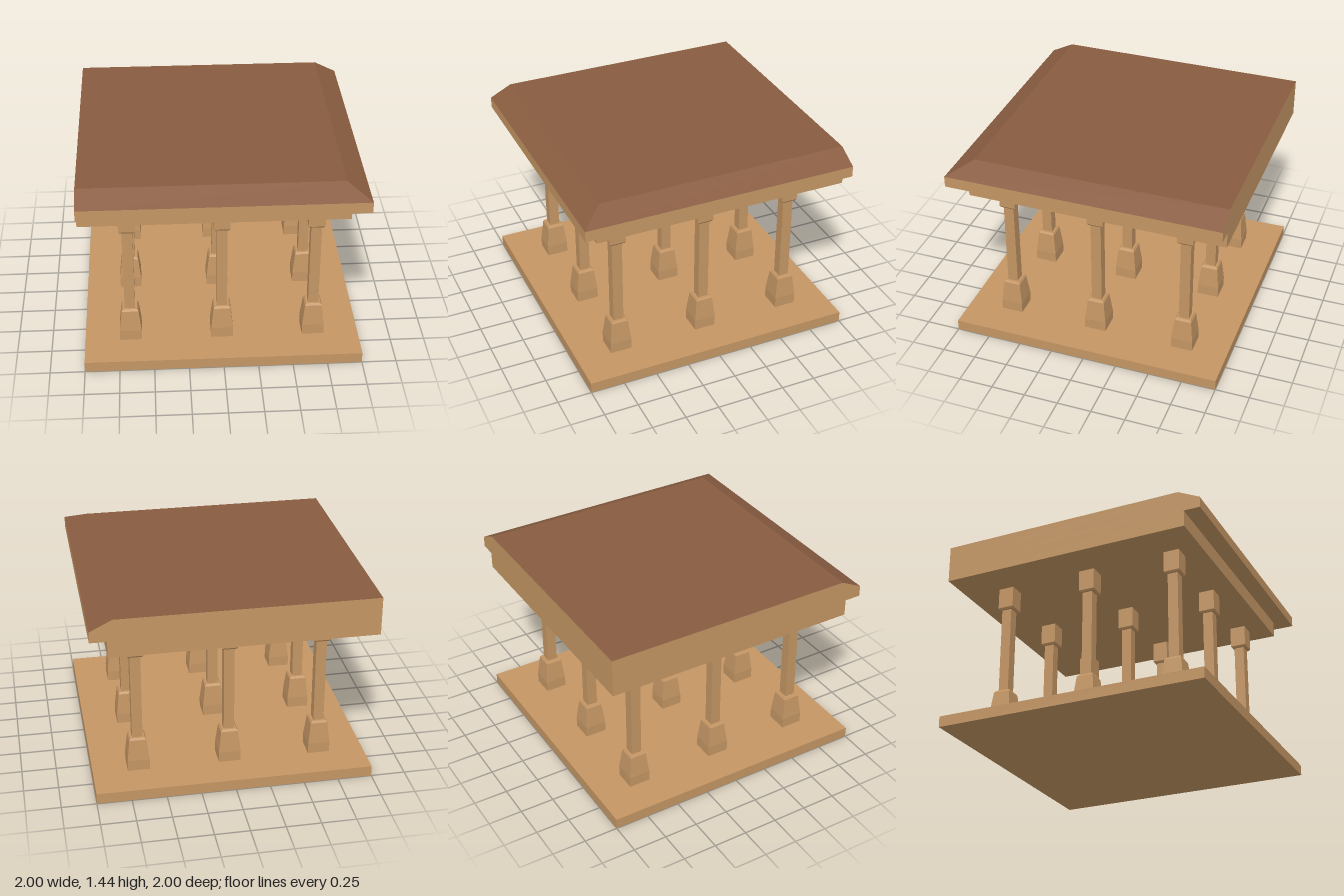
import * as THREE from 'three';

const wood = new THREE.MeshStandardMaterial({ color: 0xc49664 });
wood.name = 'wood';
const roofBrown = new THREE.MeshStandardMaterial({ color: 0x885c40 });
roofBrown.name = 'roofBrown';

// Square slab whose back left corner sits at (-1, -1) and reaches max in x and z
function slab(name, max, y0, y1, material) {
  const size = max + 1;
  const geometry = new THREE.BoxGeometry(size, y1 - y0, size);
  geometry.translate(size / 2 - 1, (y0 + y1) / 2, size / 2 - 1);
  const mesh = new THREE.Mesh(geometry, material);
  mesh.name = name;
  return mesh;
}

// Square flat-shaded post from [half width, height] steps
function squarePost(name, profile) {
  const points = profile.map(([half, y]) => new THREE.Vector2(half * Math.SQRT2, y));
  const geometry = new THREE.LatheGeometry(points, 4, Math.PI / 4).toNonIndexed();
  geometry.computeVertexNormals();
  const mesh = new THREE.Mesh(geometry, wood);
  mesh.name = name;
  return mesh;
}

function column(x, z) {
  const group = new THREE.Group();
  group.name = 'column';
  group.add(
    squarePost('columnBase', [[0.08, 0.08], [0.08, 0.16], [0.062, 0.32], [0.052, 0.335], [0, 0.335]]),
    squarePost('columnShaft', [[0.038, 0.33], [0.038, 1]]),
    squarePost('columnCapital', [[0, 0.99], [0.05, 0.99], [0.059, 1.003], [0.059, 1.165]])
  );
  group.position.set(x, 0, z);
  return group;
}

export function createModel() {
  const model = new THREE.Group();
  model.name = 'pavilionCorner';

  // Floor and stepped eaves
  model.add(slab('floor', 1, 0, 0.08, wood));
  model.add(slab('ceilingBeam', 0.88, 1.16, 1.28, wood));
  model.add(slab('eaves', 1, 1.28, 1.36, wood));

  // Roof slopes on the front and left only; the cut sides stay wood
  const roof = slab('roof', 1, 1.36, 1.44, [roofBrown, wood, roofBrown, wood, roofBrown, wood]);
  const p = roof.geometry.attributes.position;
  for (let i = 0; i < p.count; i++) {
    if (p.getY(i) < 1.4) continue;
    p.setX(i, Math.min(p.getX(i), 0.84));
    p.setZ(i, Math.min(p.getZ(i), 0.84));
  }
  roof.geometry.computeVertexNormals();
  model.add(roof);

  // Three by three columns
  for (const x of [-0.667, 0, 0.667]) {
    for (const z of [-0.667, 0, 0.667]) model.add(column(x, z));
  }
  return model;
}
